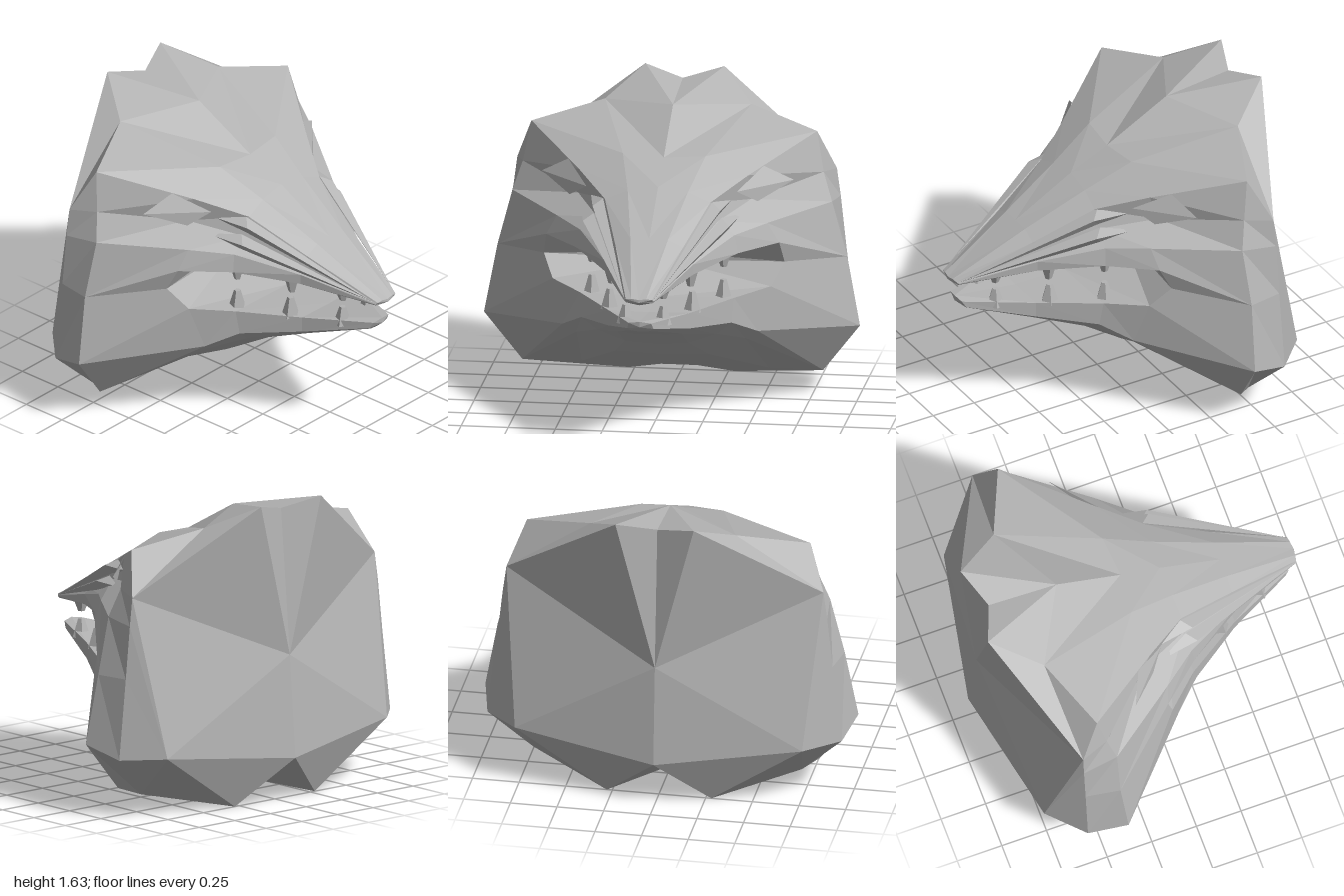
import * as THREE from 'three';

const fur = new THREE.MeshStandardMaterial({ color: 0xb4b4b4, flatShading: true, side: THREE.DoubleSide });
fur.name = 'grey';

// Collects triangles for the left half and mirrors each one to the right half
class HalfMesh {
  constructor() { this.data = []; }
  tri(a, b, c) {
    this.data.push(...a, ...b, ...c);
    for (const [x, y, z] of [a, c, b]) this.data.push(-x, y, z);
  }
  quad(a, b, c, d) { this.tri(a, b, c); this.tri(a, c, d); }
  fan(centre, ring) {
    for (let i = 0; i < ring.length - 1; i++) this.tri(centre, ring[i], ring[i + 1]);
  }
  // rows run top to bottom, each row lists its points front to back
  loft(rows) {
    for (let j = 0; j < rows.length - 1; j++) {
      const n = Math.min(rows[j].length, rows[j + 1].length);
      for (let i = 0; i < n - 1; i++)
        this.quad(rows[j][i], rows[j + 1][i], rows[j + 1][i + 1], rows[j][i + 1]);
    }
  }
  mesh(name) {
    const g = new THREE.BufferGeometry();
    g.setAttribute('position', new THREE.Float32BufferAttribute(this.data, 3));
    g.computeVertexNormals();
    const m = new THREE.Mesh(g, fur);
    m.name = name;
    return m;
  }
}

// Shared corners
const templeBack = [0.85, 1.18, -0.58];
const cheekMid = [0.93, 0.75, -0.4], cheekBack = [0.9, 0.75, -0.585];
const mouthCorner = [0.64, 0.8, -0.08];

// Upper head rows
const crown = [[0, 0.84, 0.91], [0, 1.06, 0.5], [0, 1.25, 0.16], [0, 1.35, -0.06], [0, 1.54, -0.42], [0, 1.58, -0.8]];
const forehead = [[0.04, 0.845, 0.905], [0.1, 1.06, 0.5], [0.16, 1.23, 0.17], [0.22, 1.36, -0.08], [0.39, 1.5, -0.63], [0.21, 1.63, -0.88]];
const brow = [[0.07, 0.84, 0.9], [0.18, 1.02, 0.5], [0.28, 1.18, 0.18], [0.45, 1.27, -0.06], [0.76, 1.41, -0.47], templeBack];
const socket = [[0.075, 0.835, 0.895], [0.2, 0.96, 0.5], [0.32, 1.08, 0.18], [0.46, 1.13, -0.1], [0.8, 1.2, -0.43], templeBack];
const cheekRidge = [[0.08, 0.83, 0.89], [0.235, 0.93, 0.5], [0.41, 1.01, 0.19], [0.56, 1.03, 0], [0.85, 1.05, -0.39], [0.87, 1.03, -0.583]];
const upperLip = [[0.07, 0.82, 0.89], [0.235, 0.875, 0.5], [0.43, 0.915, 0.2], [0.62, 0.92, -0.02], cheekMid, cheekBack];
const palate = [[0, 0.805, 0.885], [0, 0.86, 0.5], [0, 0.87, 0.2], [0, 0.81, -0.15]];

// Lower jaw rows
const mouthFloor = [[0, 0.71, 0.87], [0, 0.66, 0.5], [0, 0.66, 0.2], [0, 0.77, -0.15]];
const lowerLip = [[0.06, 0.7, 0.86], [0.22, 0.665, 0.5], [0.41, 0.67, 0.2], [0.58, 0.69, 0.02], cheekMid, cheekBack];
const jowl = [[0.07, 0.665, 0.84], [0.22, 0.58, 0.5], [0.4, 0.54, 0.22], [0.52, 0.46, 0.08], [1, 0.38, -0.38], [0.95, 0.32, -0.59]];
const jawEdge = [[0.05, 0.65, 0.83], [0.17, 0.55, 0.5], [0.32, 0.47, 0.2], [0.45, 0.41, 0.05], [0.8, 0.12, -0.41], [0.72, 0.09, -0.5]];
const jawUnder = [[0.03, 0.648, 0.83], [0.09, 0.53, 0.47], [0.17, 0.42, 0.22], [0.25, 0.3, 0], [0.5, 0.09, -0.52], [0.28, 0, -0.75]];
const jawKeel = [[0, 0.645, 0.83], [0, 0.54, 0.5], [0, 0.41, 0.22], [0, 0.29, 0], [0, 0.11, -0.45], [0, 0.08, -0.6]];

function upperHead() {
  const h = new HalfMesh();
  const rows = [crown, forehead, brow, socket, cheekRidge, upperLip];
  h.loft(rows);
  h.fan([0, 0.825, 0.912], [...rows, palate].map(r => r[0]).reverse());
  h.tri(upperLip[3], mouthCorner, cheekMid);
  return h.mesh('upperHead');
}

function lowerJaw() {
  const h = new HalfMesh();
  const rows = [lowerLip, jowl, jawEdge, jawUnder, jawKeel];
  h.loft(rows);
  h.fan([0, 0.68, 0.87], [mouthFloor, ...rows].map(r => r[0]).reverse());
  h.tri(mouthCorner, lowerLip[3], cheekMid);
  return h.mesh('lowerJaw');
}

function mouthLining() {
  const h = new HalfMesh();
  h.loft([upperLip.slice(0, 4), palate]);
  h.loft([mouthFloor, lowerLip.slice(0, 4)]);
  h.fan(mouthCorner, [upperLip[3], palate[3], mouthFloor[3], lowerLip[3]]);
  return h.mesh('mouthLining');
}

function backOfHead() {
  const h = new HalfMesh();
  const napeSide = [0.77, 0.33, -0.77], napeBase = [0, 0.25, -0.915];
  h.fan([0, 0.8, -0.87], [crown[5], forehead[5], templeBack, napeSide, napeBase]);
  h.fan(napeSide, [templeBack, cheekRidge[5], cheekBack, jowl[5], jawEdge[5], jawUnder[5], napeBase]);
  h.tri(napeBase, jawUnder[5], jawKeel[5]);
  return h.mesh('backOfHead');
}

// Heavy lids and folded skin beside the snout
function eyelids() {
  const h = new HalfMesh();
  const inner = [0.4, 1.2, 0.02], outer = [0.67, 1.21, -0.22], low = [0.5, 1.13, -0.06];
  h.tri(inner, low, outer);
  h.tri(inner, outer, [0.52, 1.3, -0.15]);
  return h.mesh('eyelids');
}

function snoutFolds() {
  const h = new HalfMesh();
  for (const [x, y, z] of [[0.32, 1.15, 0.2], [0.37, 1.07, 0.21]]) {
    const tip = [0.08, 0.84, 0.88], ridge = [x + 0.02, y, z + 0.02];
    h.tri(tip, [x, y - 0.04, z - 0.02], ridge);
    h.tri(tip, ridge, [x - 0.03, y + 0.03, z - 0.03]);
    h.tri(ridge, [x, y - 0.04, z - 0.02], [x + 0.06, y + 0.01, z - 0.2]);
    h.tri(ridge, [x + 0.06, y + 0.01, z - 0.2], [x - 0.03, y + 0.03, z - 0.03]);
  }
  return h.mesh('snoutFolds');
}

// Blunt five-sided teeth: x, z, root height, tip height
function teeth() {
  const group = new THREE.Group();
  group.name = 'teeth';
  const spots = [
    [0.1, 0.68, 0.87, 0.79], [0.21, 0.42, 0.9, 0.79], [0.35, 0.16, 0.94, 0.83],
    [0.1, 0.68, 0.65, 0.75], [0.22, 0.42, 0.65, 0.76], [0.35, 0.16, 0.65, 0.76]];
  for (const [x, z, root, tip] of spots) for (const s of [1, -1]) {
    const up = tip > root;
    const g = new THREE.CylinderGeometry(up ? 0.018 : 0.05, up ? 0.05 : 0.018, Math.abs(tip - root), 5);
    const m = new THREE.Mesh(g, fur);
    m.name = up ? 'lowerTooth' : 'upperTooth';
    m.position.set(s * x, (root + tip) / 2, z);
    group.add(m);
  }
  return group;
}

export function createModel() {
  const model = new THREE.Group();
  model.name = 'snarlingHead';
  model.add(upperHead(), lowerJaw(), mouthLining(), backOfHead(), eyelids(), snoutFolds(), teeth());
  return model;
}
